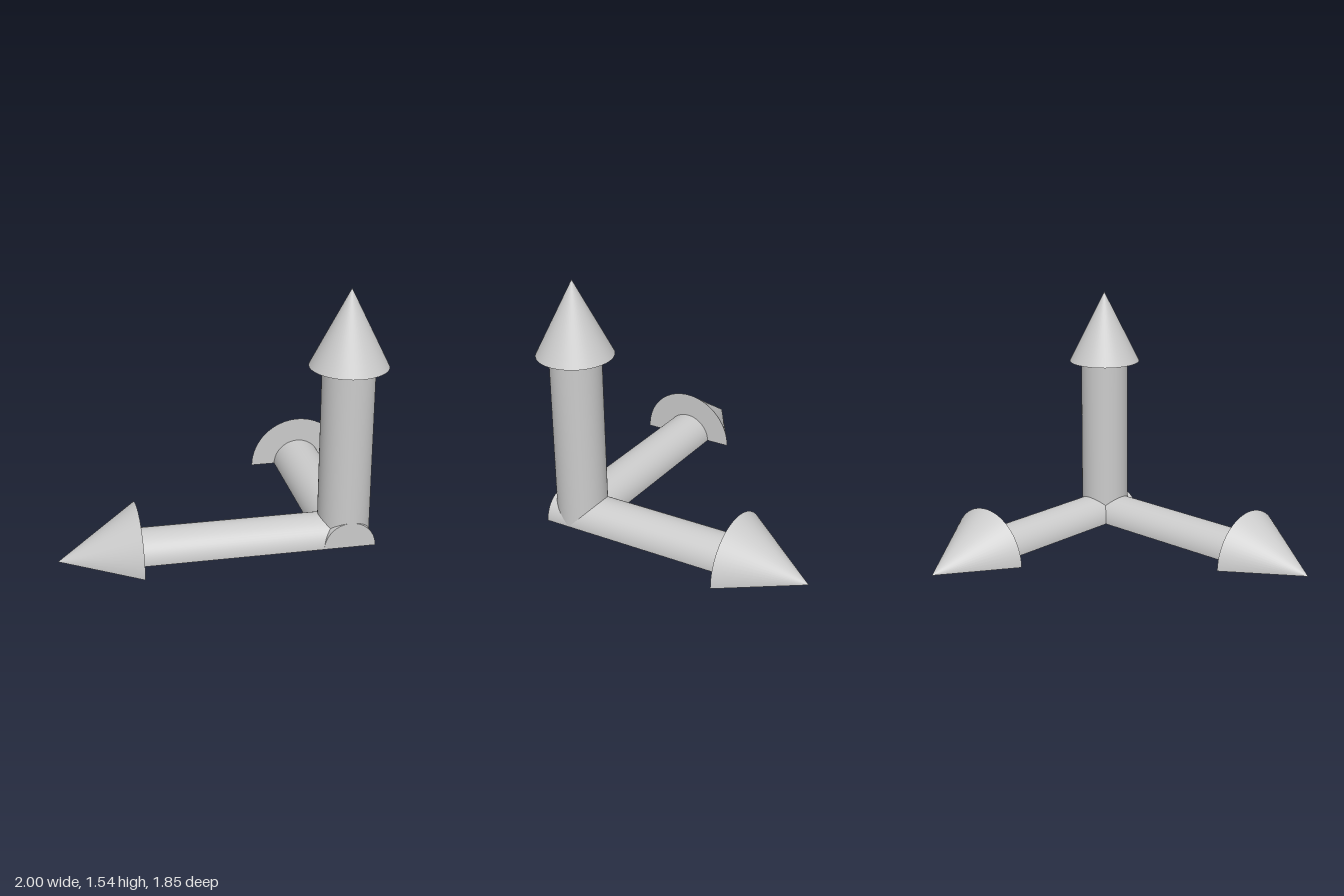
import * as THREE from 'three';

const R = 0.154;        // shaft radius
const HEAD = 0.307;     // radius of the lying heads
const HEAD_LEN = 0.461;
const SEG = 64;
const material = new THREE.MeshStandardMaterial({ color: 0xcccccc });

function addMesh(parent, name, geometry) {
  const mesh = new THREE.Mesh(geometry, material);
  mesh.name = name;
  parent.add(mesh);
}

// Half of a cylinder or cone, running from distance a to b along -z, flat side down
function addHalfSolid(parent, name, rStart, rEnd, a, b) {
  const round = new THREE.CylinderGeometry(rEnd, rStart, b - a, SEG / 2, 1, false, -Math.PI / 2, Math.PI);
  round.translate(0, (a + b) / 2, 0).rotateX(-Math.PI / 2);
  addMesh(parent, name, round);

  const corners = [[-rStart, a], [rStart, a], [rEnd, b], [-rEnd, b]];
  if (rEnd === 0) corners.pop();
  const outline = new THREE.Shape(corners.map(([x, y]) => new THREE.Vector2(x, y)));
  const flat = new THREE.ShapeGeometry(outline);
  flat.rotateY(Math.PI).rotateX(-Math.PI / 2);
  addMesh(parent, name + 'Underside', flat);
}

// Lying arrow pointing along -z
function lyingArrow(name, start, shaftEnd) {
  const arrow = new THREE.Group();
  arrow.name = name;
  addHalfSolid(arrow, 'shaft', R, R, start, shaftEnd);
  addHalfSolid(arrow, 'head', HEAD, 0, shaftEnd, shaftEnd + HEAD_LEN);
  return arrow;
}

export function createModel() {
  const model = new THREE.Group();
  model.name = 'axisArrows';

  // Upright arrow
  const upright = new THREE.Group();
  upright.name = 'uprightArrow';
  addMesh(upright, 'shaft', new THREE.CylinderGeometry(R, R, 1.078, SEG).translate(0, 0.539, 0));
  addMesh(upright, 'head', new THREE.ConeGeometry(0.23, HEAD_LEN, SEG).translate(0, 1.078 + HEAD_LEN / 2, 0));
  model.add(upright);

  // Arrow to the back, its end cap showing at the front of the corner
  model.add(lyingArrow('backArrow', -R, 1.078));

  // Arrow to the right, starting inside the corner
  const side = lyingArrow('sideArrow', 0, 1.232);
  side.rotation.y = Math.PI / 2;
  model.add(side);

  // Corner position
  model.position.set(0.693, 0, 0.616);
  const root = new THREE.Group();
  root.add(model);
  return root;
}
